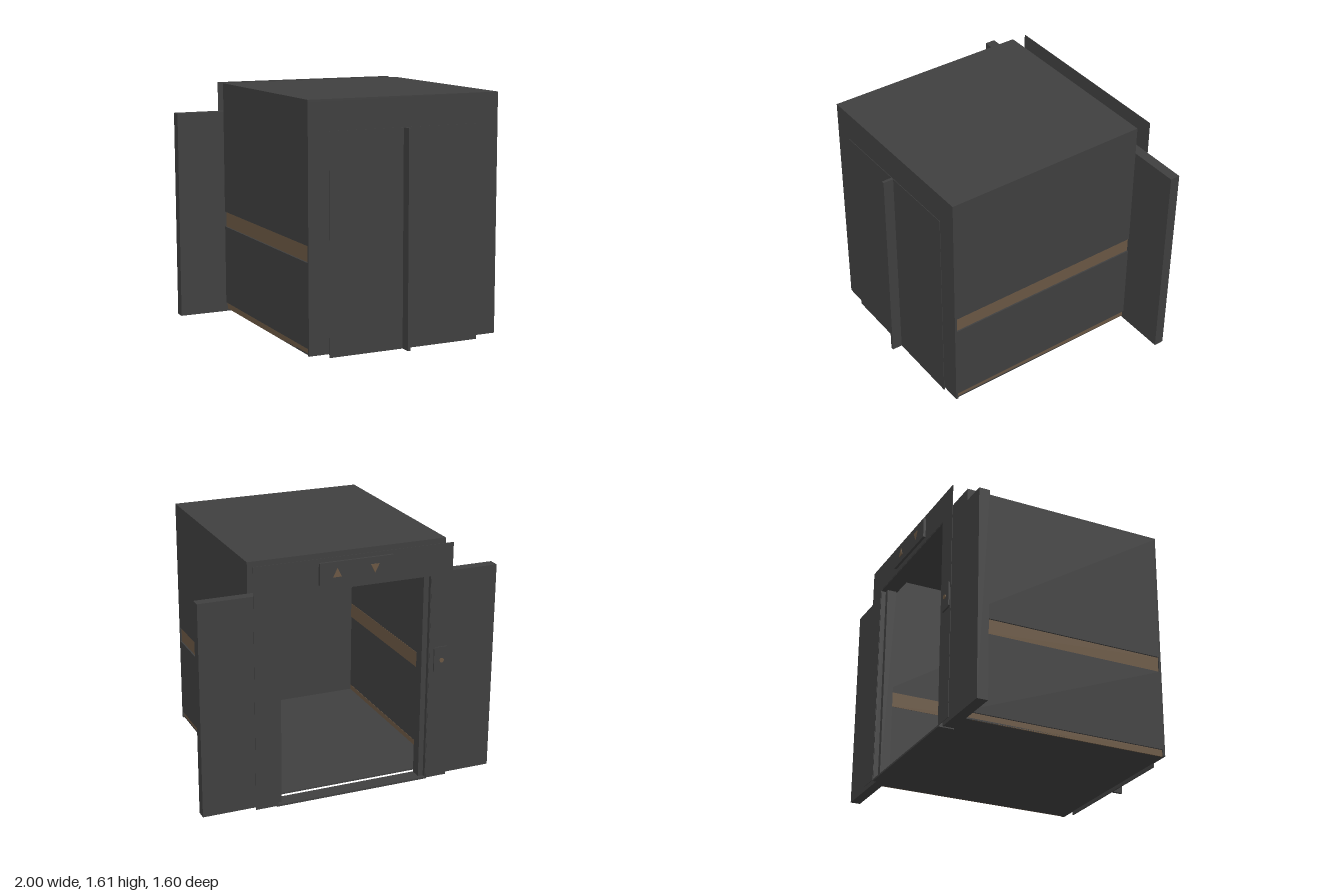
import * as THREE from 'three';

export function createModel() {
  const root = new THREE.Group();
  root.name = 'elevator';
  const mat = (name, color) => {
    const m = new THREE.MeshStandardMaterial({ color });
    m.name = name;
    return m;
  };
  const metal = mat('darkMetal', 0x3f3f3f);
  const bronze = mat('bronzeTrim', 0x6a5743);

  const group = (name) => {
    const g = new THREE.Group();
    g.name = name;
    root.add(g);
    return g;
  };
  // Box given by its extents on each axis
  const box = (parent, name, [x0, x1], [y0, y1], [z0, z1], m = metal) => {
    const mesh = new THREE.Mesh(new THREE.BoxGeometry(x1 - x0, y1 - y0, z1 - z0), m);
    mesh.position.set((x0 + x1) / 2, (y0 + y1) / 2, (z0 + z1) / 2);
    mesh.name = name;
    parent.add(mesh);
    return mesh;
  };

  // Cabin shell
  const L = -0.67, R = 0.66, BACK = -0.675, FRONT = 0.727, T = 0.015;
  const cabin = group('cabin');
  box(cabin, 'floor', [L + 0.01, R - 0.01], [0.025, 0.035], [BACK, FRONT]);
  box(cabin, 'roof', [L, R], [1.59, 1.605], [BACK, FRONT]);
  box(cabin, 'frontWall', [L, R], [0.025, 1.59], [FRONT - T, FRONT]);

  // Side walls with recessed bronze bands
  for (const [side, outer, inner] of [['left', R, R - T], ['right', L, L + T]]) {
    const dir = Math.sign(inner - outer);
    const span = (a, b) => [Math.min(a, b), Math.max(a, b)];
    const wall = span(outer, inner);
    const band = span(outer + dir * 0.01, inner + dir * 0.002);
    const depth = [BACK, FRONT - T];
    box(cabin, side + 'LowerWall', wall, [0.07, 0.61], depth);
    box(cabin, side + 'UpperWall', wall, [0.715, 1.59], depth);
    box(cabin, side + 'RailBand', band, [0.61, 0.715], depth, bronze);
    box(cabin, side + 'SkirtingBand', band, [0.025, 0.07], depth, bronze);
  }

  // Wall around the open entrance
  box(cabin, 'backWallLeft', [0.52, R - T], [0.035, 1.59], [BACK, BACK + 0.01]);
  box(cabin, 'backWallRight', [L + T, -0.53], [0.035, 1.59], [BACK, BACK + 0.01]);
  box(cabin, 'backWallTop', [-0.53, 0.52], [1.41, 1.59], [BACK, BACK + 0.01]);

  // Closed entrance: flush leaves and the projecting centre post
  const closed = group('closedEntrance');
  box(closed, 'leftLeaf', [0, 0.52], [0, 1.41], [FRONT - 0.005, FRONT + 0.003]);
  box(closed, 'rightLeaf', [-0.53, -0.02], [0, 1.41], [FRONT - 0.005, FRONT + 0.003]);
  box(closed, 'centrePost', [-0.02, 0], [0, 1.41], [FRONT - 0.005, 0.8]);

  // Open sliding doors
  const doors = group('slidingDoors');
  box(doors, 'leftDoor', [0.475, 1], [0.007, 1.41], [-0.745, -0.678]);
  box(doors, 'rightDoor', [-1, -0.485], [0.007, 1.41], [-0.75, -0.678]);

  // Door frame: jambs, lintel and sill
  const frame = group('doorFrame');
  box(frame, 'leftJamb', [0.51, 0.52], [0, 1.41], [-0.777, -0.745]);
  box(frame, 'rightJamb', [-0.53, -0.52], [0, 1.41], [-0.777, -0.75]);
  box(frame, 'lintel', [-0.53, 0.52], [1.4, 1.413], [-0.777, -0.675]);
  box(frame, 'sill', [-0.53, 0.52], [0, 0.012], [-0.777, -0.675]);

  // Thin surround plate with the doorway cut out
  const plate = new THREE.Shape();
  [[L, 0.007], [L, 1.605], [R, 1.605], [R, 0.007], [0.515, 0.007], [0.515, 1.405],
    [-0.525, 1.405], [-0.525, 0.007]].forEach(([x, y], i) => (i ? plate.lineTo(x, y) : plate.moveTo(x, y)));
  const surround = new THREE.Mesh(
    new THREE.ExtrudeGeometry(plate, { depth: 0.003, bevelEnabled: false }), metal);
  surround.position.z = -0.779;
  surround.name = 'surroundPlate';
  frame.add(surround);

  // Direction indicator with up and down arrows
  const indicator = group('directionIndicator');
  box(indicator, 'indicatorPanel', [-0.25, 0.24], [1.44, 1.58], [-0.796, -0.778]);
  for (const [name, x, dir] of [['upArrow', 0.125, 1], ['downArrow', -0.125, -1]]) {
    const tri = new THREE.Shape();
    tri.moveTo(-0.028, -0.026 * dir);
    tri.lineTo(0.028, -0.026 * dir);
    tri.lineTo(0, 0.03 * dir);
    const arrow = new THREE.Mesh(
      new THREE.ExtrudeGeometry(tri, { depth: 0.005, bevelEnabled: false }), bronze);
    arrow.position.set(x, 1.51, -0.8);
    arrow.name = name;
    indicator.add(arrow);
  }

  // Call panel with chamfered corners and a round button
  const call = group('callPanel');
  const w = 0.052, h = 0.09, c = 0.012;
  const outline = new THREE.Shape();
  [[-w + c, -h], [w - c, -h], [w, -h + c], [w, h - c], [w - c, h], [-w + c, h], [-w, h - c], [-w, -h + c]]
    .forEach(([x, y], i) => (i ? outline.lineTo(x, y) : outline.moveTo(x, y)));
  const panel = new THREE.Mesh(
    new THREE.ExtrudeGeometry(outline, { depth: 0.011, bevelEnabled: false }), metal);
  panel.position.set(-0.607, 0.83, -0.789);
  panel.name = 'callPlate';
  call.add(panel);
  const button = new THREE.Mesh(new THREE.CylinderGeometry(0.015, 0.015, 0.008, 16), bronze);
  button.rotation.x = Math.PI / 2;
  button.position.set(-0.607, 0.83, -0.791);
  button.name = 'callButton';
  call.add(button);

  return root;
}
